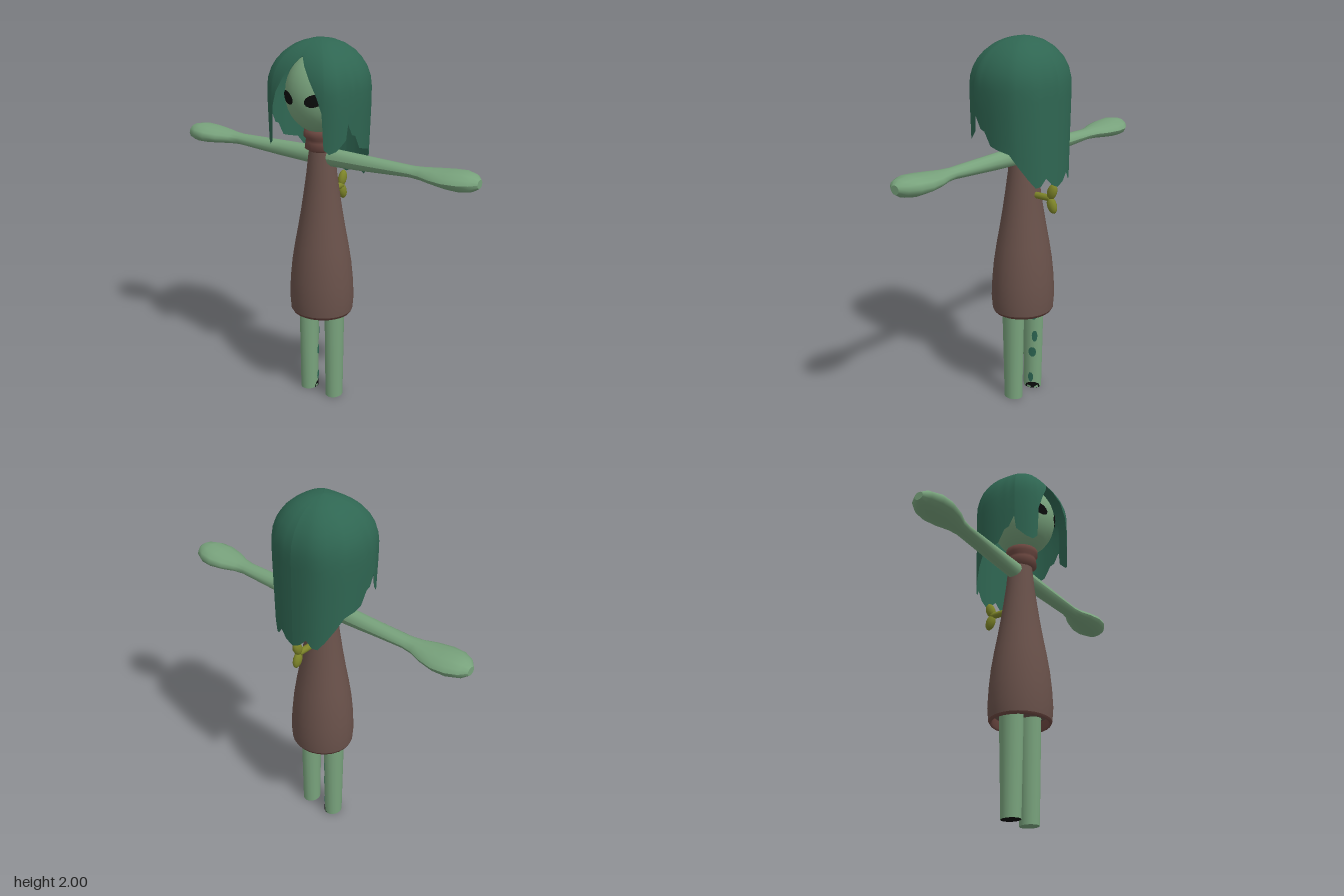
import * as THREE from 'three';

const mat = (name, color, side = THREE.FrontSide) => {
  const m = new THREE.MeshStandardMaterial({ color, side });
  m.name = name;
  return m;
};

export function createModel() {
  const skin = mat('green skin', 0x78a27c);
  const hairMat = mat('dark green hair', 0x2f6652, THREE.DoubleSide);
  const cloth = mat('brown cloth', 0x69514a, THREE.DoubleSide);
  const trim = mat('reddish trim', 0x6b4740, THREE.DoubleSide);
  const olive = mat('olive metal', 0x7d8429);
  const black = mat('black', 0x0b0c0c, THREE.DoubleSide);
  const moss = mat('moss patch', 0x2d6653, THREE.DoubleSide);

  const model = new THREE.Group();
  model.name = 'figure';
  const add = (name, geo, material, parent = model) => {
    const mesh = new THREE.Mesh(geo, material);
    mesh.name = name;
    parent.add(mesh);
    return mesh;
  };
  const lathe = (pts, sides) =>
    new THREE.LatheGeometry(pts.map(([r, y]) => new THREE.Vector2(r, y)), sides);

  // Dress: bell-shaped, slightly flatter front to back
  const dress = [[0.172, 0.525], [0.178, 0.6], [0.173, 0.7], [0.163, 0.8], [0.147, 0.9], [0.128, 1.0],
    [0.111, 1.1], [0.096, 1.2], [0.082, 1.3], [0.073, 1.39], [0.064, 1.45]];
  add('dress', lathe(dress, 24), cloth).scale.z = 0.95;
  add('dressHem', lathe([[0.148, 0.56], [0.152, 0.518], [0.163, 0.51], [0.172, 0.525]], 24), trim).scale.z = 0.95;
  const lining = add('dressLining', new THREE.CircleGeometry(0.165, 24), cloth);
  lining.rotation.x = Math.PI / 2;
  lining.position.y = 0.56;

  // Rolled collar
  const collar = add('collar', lathe([[0.06, 1.42], [0.084, 1.435], [0.08, 1.47], [0.077, 1.485],
    [0.09, 1.5], [0.088, 1.53], [0.06, 1.55]], 16), trim);
  collar.position.z = 0.01;

  // Head
  const HC = new THREE.Vector3(0, 1.725, 0.02), HR = new THREE.Vector3(0.175, 0.205, 0.18);
  const head = add('head', new THREE.SphereGeometry(1, 24, 16), skin);
  head.position.copy(HC);
  head.scale.copy(HR);

  // Eyes: thin tilted ovals wrapped onto the face
  for (const s of [1, -1]) {
    const geo = new THREE.CircleGeometry(1, 14);
    geo.scale(0.048, 0.031, 1).rotateZ(s * 0.35).translate(s * 0.08, 1.717, 0);
    const p = geo.attributes.position;
    for (let i = 0; i < p.count; i++) {
      const u = (p.getX(i) - HC.x) / HR.x, v = (p.getY(i) - HC.y) / HR.y;
      p.setZ(i, HC.z + HR.z * Math.sqrt(1 - u * u - v * v) + 0.005);
    }
    geo.computeVertexNormals();
    add(s > 0 ? 'leftEye' : 'rightEye', geo, black);
  }

  // Hair: domed sheet whose lower edge (angle from the front, height) forms the parting and locks
  const half = [[0, 1.93], [10, 1.885], [20, 1.825], [29, 1.75], [35, 1.67], [36.5, 1.58], [38, 1.49],
    [44, 1.465], [52, 1.48], [63, 1.53], [65, 1.61], [72, 1.55], [78, 1.54], [87, 1.47], [98, 1.455],
    [112, 1.44], [122, 1.38], [134, 1.31], [143, 1.265], [150, 1.27], [158, 1.31], [168, 1.27], [180, 1.25]];
  const edge = [...half.slice(1).reverse().map(([a, y]) => [-a, y]), ...half];
  const ROWS = 14, DOME = 1.76, RISE = 0.24;
  const pos = [], idx = [];
  edge.forEach(([deg, yEnd], i) => {
    const a = THREE.MathUtils.degToRad(deg), sn = Math.sin(a), cs = Math.cos(a);
    const n = cs > 0 ? 2 + 1.3 * Math.min(1, cs * 2) : 2.3;
    const r = (Math.abs(sn / 0.25) ** n + Math.abs(cs / 0.23) ** n) ** (-1 / n);
    const arc = RISE * Math.PI / 2;
    const end = yEnd > DOME ? RISE * Math.acos((yEnd - DOME) / RISE) : arc + DOME - yEnd;
    for (let j = 0; j <= ROWS; j++) {
      const d = end * j / ROWS;
      const y = d < arc ? DOME + RISE * Math.cos(d / RISE) : DOME - (d - arc);
      const k = d < arc ? Math.sin(d / RISE) : 1;
      const taper = 1 - 0.18 * Math.max(0, DOME - y - 0.08);
      pos.push(sn * r * k * taper, y, cs * r * k);
      if (i < edge.length - 1 && j < ROWS) {
        const q = i * (ROWS + 1) + j, w = q + ROWS + 1;
        idx.push(q, q + 1, w, q + 1, w + 1, w);
      }
    }
  });
  const hairGeo = new THREE.BufferGeometry();
  hairGeo.setAttribute('position', new THREE.Float32BufferAttribute(pos, 3));
  hairGeo.setIndex(idx);
  hairGeo.computeVertexNormals();
  add('hair', hairGeo, hairMat);

  // Arms: oval sections [x, centre y, half height, half depth] ending in flat mitten hands
  const arm = [[0.03, 1.388, 0.05, 0.046], [0.25, 1.39, 0.042, 0.046], [0.54, 1.395, 0.028, 0.046],
    [0.6, 1.395, 0.031, 0.056], [0.67, 1.395, 0.037, 0.085], [0.75, 1.395, 0.045, 0.102],
    [0.82, 1.396, 0.05, 0.094], [0.875, 1.396, 0.042, 0.065], [0.905, 1.396, 0.022, 0.026]];
  const armGeo = new THREE.CylinderGeometry(1, 1, 1, 12, arm.length - 1);
  const ap = armGeo.attributes.position;
  for (let i = 0; i < ap.count; i++) {
    const [x, cy, ry, rz] = arm[Math.round((0.5 - ap.getY(i)) * (arm.length - 1))];
    ap.setXYZ(i, x, cy + ry * ap.getX(i), rz * ap.getZ(i));
  }
  armGeo.computeVertexNormals();
  add('leftArm', armGeo, skin);
  add('rightArm', armGeo, skin).rotation.y = Math.PI;

  // Legs: slightly tapered toward the foot front to back
  const legZ = (y) => 0.054 + 0.028 * y;
  for (const s of [1, -1]) {
    const geo = new THREE.CylinderGeometry(1, 1, 0.6, 16, 1);
    const p = geo.attributes.position;
    for (let i = 0; i < p.count; i++) {
      const y = p.getY(i) + 0.3;
      p.setXYZ(i, p.getX(i) * 0.046, y, p.getZ(i) * legZ(y));
    }
    const leg = add(s > 0 ? 'leftLeg' : 'rightLeg', geo, s > 0 ? skin : [skin, skin, black]);
    leg.position.x = s * 0.085;
  }

  // Blotches wrapped round the inner back of the right leg: angle, height, half width, half height
  const blotches = [[125, 0.47, 0.016, 0.04, moss], [132, 0.33, 0.014, 0.035, moss],
    [120, 0.23, 0.02, 0.03, moss], [112, 0.07, 0.014, 0.03, moss], [125, 0.0, 0.045, 0.04, black]];
  for (const [deg, y0, w, h, m] of blotches) {
    const geo = new THREE.CircleGeometry(1, 10);
    const p = geo.attributes.position;
    for (let i = 0; i < p.count; i++) {
      const a = THREE.MathUtils.degToRad(deg) + p.getX(i) * w / 0.05;
      const y = Math.max(0.002, y0 + p.getY(i) * h);
      p.setXYZ(i, -0.085 + Math.sin(a) * 0.0485, y, Math.cos(a) * (legZ(y) + 0.0025));
    }
    geo.computeVertexNormals();
    add('legBlotch', geo, m);
  }

  // Wind-up key on the back
  const key = new THREE.Group();
  key.name = 'windUpKey';
  key.position.y = 1.18;
  model.add(key);
  const shaft = add('keyShaft', new THREE.CylinderGeometry(0.018, 0.018, 0.11, 10), olive, key);
  shaft.rotation.x = Math.PI / 2;
  shaft.position.z = -0.13;
  for (const s of [1, -1]) {
    const lobe = add('keyLobe', new THREE.SphereGeometry(1, 12, 8), olive, key);
    lobe.scale.set(0.022, 0.046, 0.028);
    lobe.position.set(0, s * 0.036, -0.195);
    lobe.rotation.x = -s * 0.35;
  }
  return model;
}
